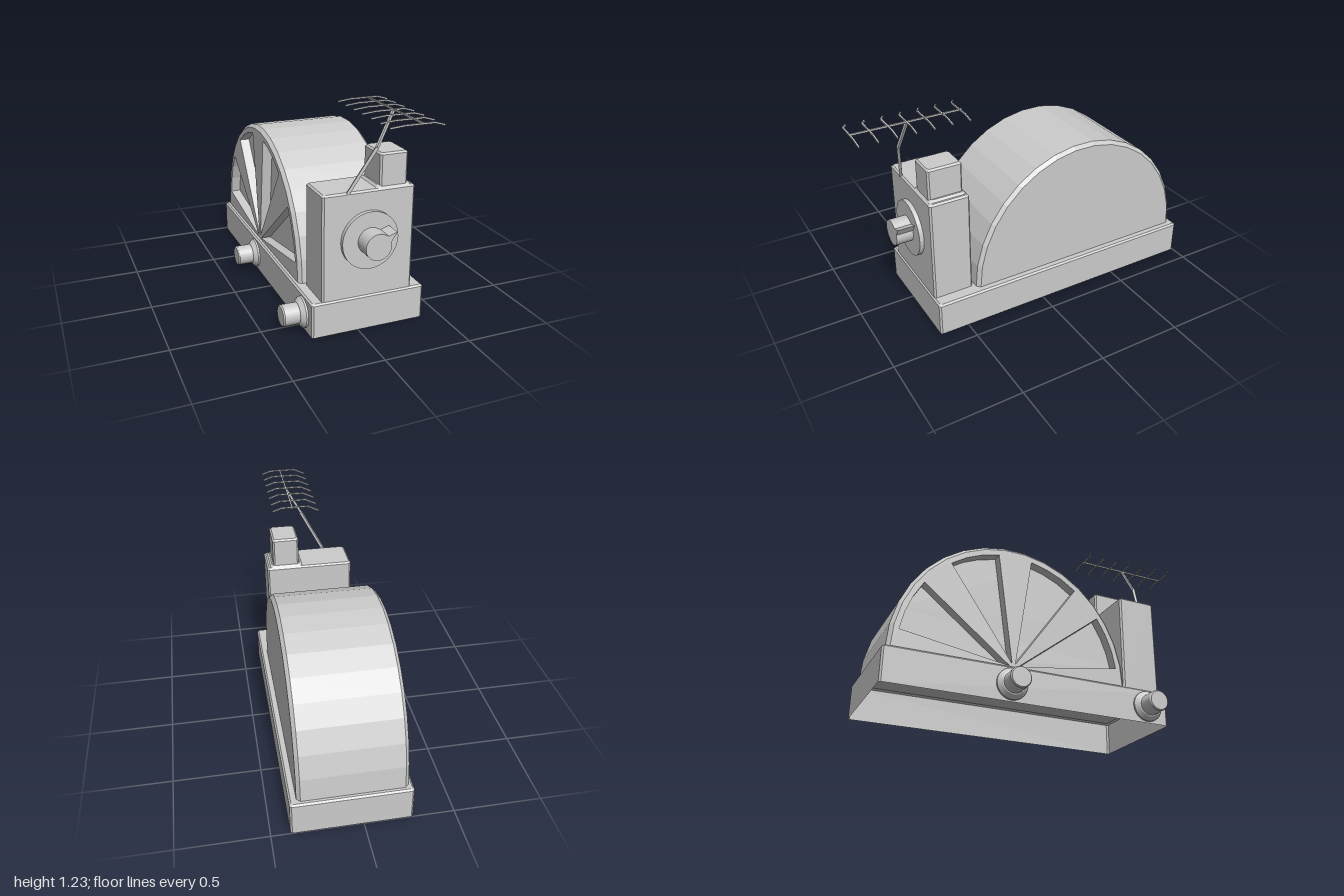
import * as THREE from 'three';

const mat = new THREE.MeshStandardMaterial({ color: 0xcccccc, flatShading: true, side: THREE.DoubleSide });
const V = (x, y, z) => new THREE.Vector3(x, y, z);

function part(parent, name, geometry) {
  const mesh = new THREE.Mesh(geometry, mat);
  mesh.name = name;
  parent.add(mesh);
  return mesh;
}

// Skin of quads through a list of equal-length rings
function loft(rings, closed) {
  const pos = [];
  for (let i = 0; i < rings.length - 1; i++) {
    const n = rings[i].length;
    for (let j = 0; j < (closed ? n : n - 1); j++) {
      const k = (j + 1) % n;
      const [a, b, c, d] = [rings[i][j], rings[i][k], rings[i + 1][k], rings[i + 1][j]];
      for (const p of [a, b, c, a, c, d]) pos.push(p.x, p.y, p.z);
    }
  }
  const g = new THREE.BufferGeometry();
  g.setAttribute('position', new THREE.Float32BufferAttribute(pos, 3));
  g.computeVertexNormals();
  return g;
}

// Box with chamfered upright and top edges, open underneath
function shell(x0, x1, y0, y1, z0, z1, b) {
  const ring = (y, i) => {
    const [l, r, k, f] = [x0 + i, x1 - i, z0 + i, z1 - i];
    return [[l + b, f], [r - b, f], [r, f - b], [r, k + b], [r - b, k], [l + b, k], [l, k + b], [l, f - b]]
      .map(([x, z]) => V(x, y, z));
  };
  const tip = V((x0 + x1) / 2, y1, (z0 + z1) / 2);
  return loft([ring(y0, 0), ring(y1 - b, 0), ring(y1, b), Array(8).fill(tip)], true);
}

// Thin square bar between two points
function bar(parent, name, a, b, t) {
  const m = part(parent, name, new THREE.BoxGeometry(t, t, a.distanceTo(b) + t * 0.3));
  m.position.addVectors(a, b).multiplyScalar(0.5);
  m.lookAt(b);
}

// Half-round drum with fan-shaped recesses on its right side
function drum() {
  const g = new THREE.Group();
  g.name = 'drum';
  const N = 17, cz = -0.28, y0 = 0.2, bev = 0.02;
  const arc = (inset) => Array.from({ length: N + 1 }, (_, i) => {
    const t = (i / N) * Math.PI;
    return [-cz + (0.695 - inset) * Math.cos(t), y0 + (0.733 - inset) * Math.sin(t)];
  });
  const ring = (x, inset) => arc(inset).map(([u, y]) => V(x, y, -u));
  part(g, 'drumRim', loft([ring(-0.245, bev), ring(-0.225, 0), ring(0.335, 0), ring(0.355, bev)], false));

  const disc = () => new THREE.Shape(arc(bev).map(([u, y]) => new THREE.Vector2(u, y)));
  const slab = (shape, x0, x1) => new THREE.ExtrudeGeometry(shape, { depth: x1 - x0, bevelEnabled: false })
    .rotateY(Math.PI / 2).translate(x0, 0, 0);
  part(g, 'drumBody', slab(disc(), -0.185, 0.355));

  const face = disc();
  for (let i = 0; i < 4; i++) {
    const pts = [9, 18, 27, 36].map((d) => {
      const t = THREE.MathUtils.degToRad(d + i * 45);
      return new THREE.Vector2(-cz + 0.645 * Math.cos(t), y0 + 0.68 * Math.sin(t));
    });
    const mid = THREE.MathUtils.degToRad(22.5 + i * 45);
    pts.push(new THREE.Vector2(-cz + 0.025 * Math.cos(mid), y0 + 0.025 * Math.sin(mid)));
    face.holes.push(new THREE.Path(pts));
  }
  part(g, 'spokedFace', slab(face, -0.245, -0.185));
  return g;
}

// Dial plate and pointer knob on the front of the tower
function dial() {
  const g = new THREE.Group();
  g.name = 'dial';
  g.position.set(0.055, 0.527, 0.66);
  const plate = new THREE.CylinderGeometry(0.162, 0.162, 0.03, 40).rotateX(Math.PI / 2).translate(0, 0, 0.015);
  part(g, 'dialPlate', plate);
  const s = new THREE.Shape();
  s.absarc(0, 0, 0.074, 0.95, 0.3 + Math.PI * 2, false);
  s.lineTo(0.102, 0.07);
  s.closePath();
  const tip = new THREE.Shape([[0.03, 0.03], [0.07, 0.022], [0.102, 0.07], [0.043, 0.06]].map((p) => new THREE.Vector2(...p)));
  tip.autoClose = true;
  s.curves.pop();
  s.curves.pop();
  s.lineTo(0.08, 0.035);
  s.lineTo(0.103, 0.071);
  s.lineTo(0.055, 0.055);
  part(g, 'pointerKnob', new THREE.ExtrudeGeometry(s, { depth: 0.1, bevelEnabled: false, curveSegments: 28 }).translate(0, 0, 0.028));
  return g;
}

// Bent mast carrying a boom with cross elements
function aerial() {
  const g = new THREE.Group();
  g.name = 'aerial';
  const mast = [V(-0.068, 0.795, 0.66), V(0.064, 1.04, 0.712), V(0.16, 1.222, 0.692)];
  bar(g, 'mastLower', mast[0], mast[1], 0.016);
  bar(g, 'mastUpper', mast[1], mast[2], 0.014);
  bar(g, 'boom', V(0.16, 1.222, 0.385), V(0.16, 1.222, 0.995), 0.009);
  for (let i = 0; i < 7; i++) {
    const z = 0.395 + i * 0.0995;
    const pts = [V(0.004, 1.205, z - 0.034), V(0.065, 1.222, z), V(0.22, 1.222, z), V(0.276, 1.205, z - 0.004)];
    for (let j = 0; j < 3; j++) bar(g, 'aerialElement', pts[j], pts[j + 1], 0.008);
  }
  return g;
}

export function createModel() {
  const model = new THREE.Group();
  model.name = 'model';

  part(model, 'base', shell(-0.27, 0.395, 0, 0.2, -1, 0.672, 0.01));
  part(model, 'tower', shell(-0.21, 0.32, 0.2, 0.8, 0.43, 0.665, 0.01));
  part(model, 'chimneyFoot', shell(0.1, 0.3, 0.79, 0.812, 0.44, 0.655, 0.012));
  part(model, 'chimney', shell(0.12, 0.28, 0.8, 0.985, 0.45, 0.65, 0.01));
  model.add(drum(), dial(), aerial());

  // Side knobs on the right wall of the base
  const profile = [[0, 0], [0.088, 0], [0.088, 0.012], [0.066, 0.034], [0.06, 0.036], [0.06, 0.122], [0.054, 0.13], [0, 0.13]]
    .map((p) => new THREE.Vector2(...p));
  for (const z of [-0.3, 0.537]) {
    const knob = part(model, 'sideKnob', new THREE.LatheGeometry(profile, 32));
    knob.rotation.z = Math.PI / 2;
    knob.position.set(-0.269, 0.096, z);
  }
  return model;
}
